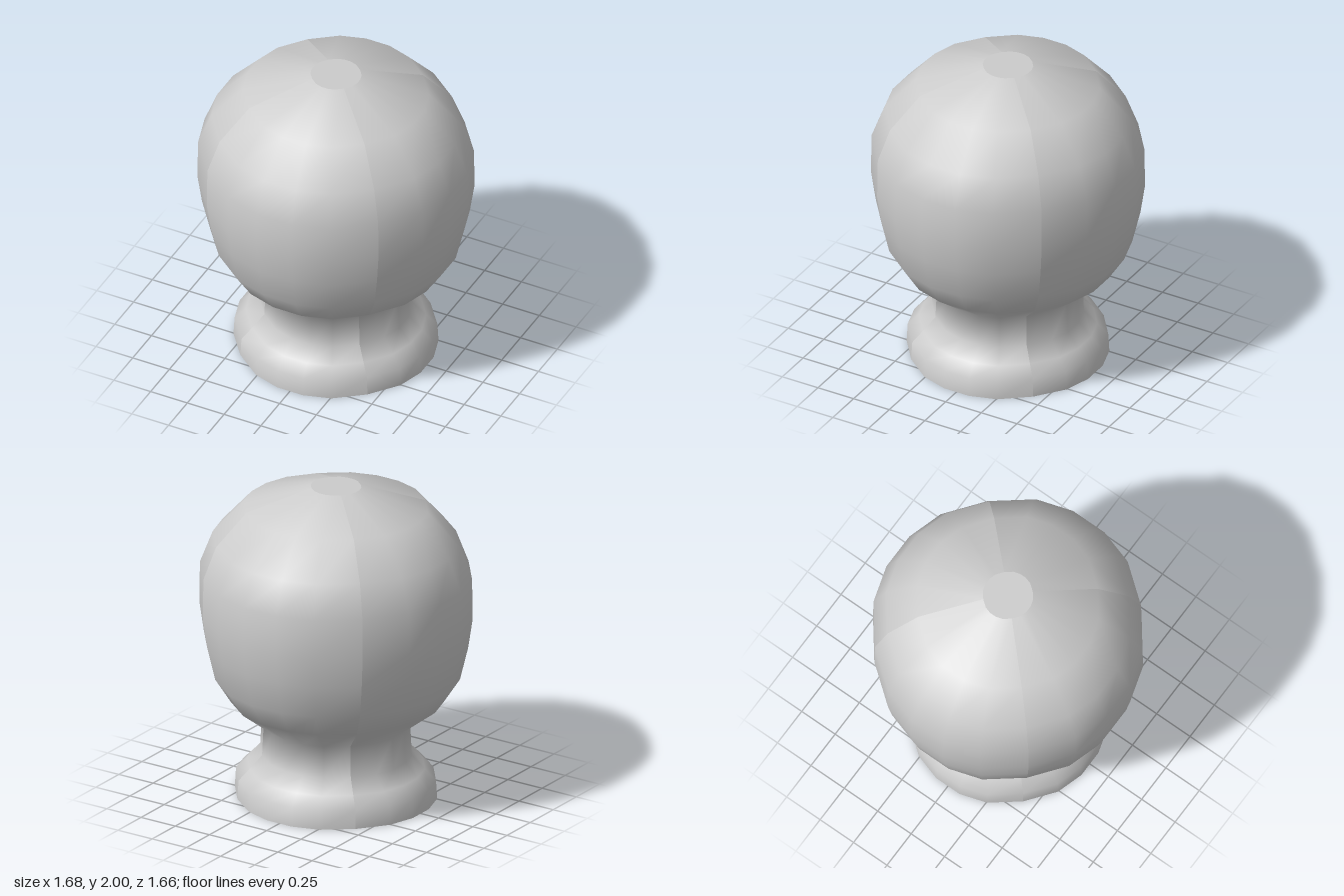
import * as THREE from 'three';

// One quarter of the rounded twenty-sided outline, facing +z
const QUARTER = [[-0.697, 0.697], [-0.415, 0.916], [-0.142, 1], [0.142, 1], [0.415, 0.916], [0.697, 0.697]];
const DEPTH = 0.988; // slightly narrower front to back

// Half-width and height, from foot to crown
const PROFILE = [
  [0.62, 0], [0.613, 0.12], [0.545, 0.19], [0.465, 0.275], [0.455, 0.475], [0.66, 0.635], [0.76, 0.79],
  [0.81, 1.0], [0.838, 1.19], [0.834, 1.45], [0.755, 1.655], [0.563, 1.867], [0.155, 2],
];

// Smooth side panel; its edges stay creased against the neighbouring panels
function panelGeometry(turn) {
  const pos = [], index = [], n = QUARTER.length;
  for (const [r, y] of PROFILE) for (const [x, z] of QUARTER) pos.push(x * r, y, z * r);
  for (let j = 0; j < PROFILE.length - 1; j++) {
    for (let i = 0; i < n - 1; i++) {
      const a = j * n + i, b = a + n;
      index.push(a, a + 1, b + 1, a, b + 1, b);
    }
  }
  const geo = new THREE.BufferGeometry();
  geo.setAttribute('position', new THREE.Float32BufferAttribute(pos, 3));
  geo.setIndex(index);
  geo.rotateY(turn * Math.PI / 2).scale(1, 1, DEPTH);
  geo.computeVertexNormals();
  return geo;
}

// Flat cap with the full outline, facing up (1) or down (-1)
function capGeometry([r, y], facing) {
  const points = [];
  for (let k = 0; k < 4; k++) {
    for (const [x, z] of QUARTER.slice(0, -1)) {
      points.push(new THREE.Vector2(x * r, z * r).rotateAround(new THREE.Vector2(), -k * Math.PI / 2));
    }
  }
  const geo = new THREE.ShapeGeometry(new THREE.Shape(points));
  return geo.rotateX(-facing * Math.PI / 2).scale(1, 1, DEPTH).translate(0, y, 0);
}

export function createModel() {
  const group = new THREE.Group();
  group.name = 'knob';
  const material = new THREE.MeshStandardMaterial({ color: 0xcccccc });
  const add = (name, geo) => {
    const mesh = new THREE.Mesh(geo, material);
    mesh.name = name;
    group.add(mesh);
  };

  // Four side panels around the knob
  ['frontPanel', 'leftPanel', 'backPanel', 'rightPanel'].forEach((name, k) => add(name, panelGeometry(k)));

  // Flat crown and foot
  add('crown', capGeometry(PROFILE[PROFILE.length - 1], 1));
  add('foot', capGeometry(PROFILE[0], -1));
  return group;
}
